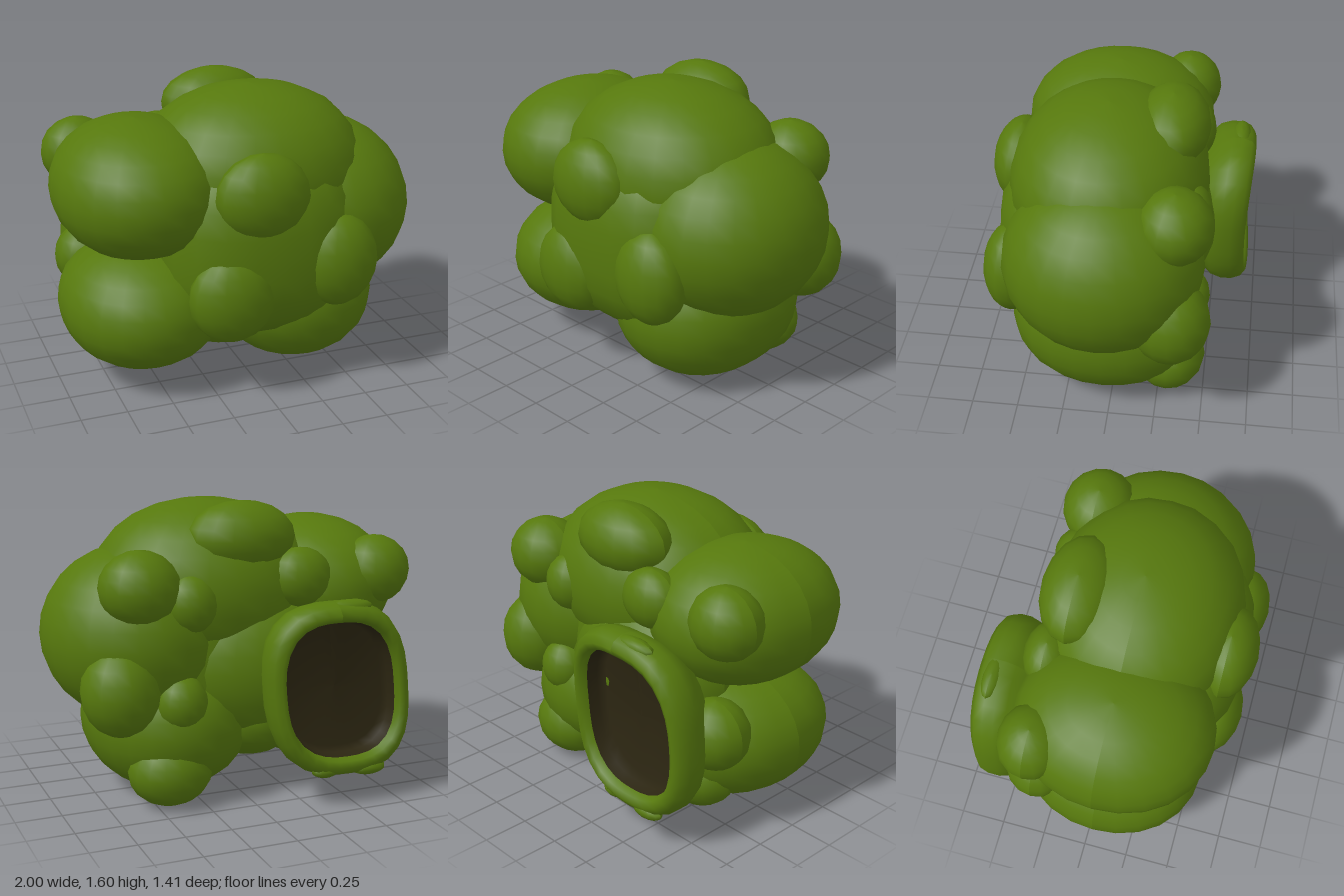
import * as THREE from 'three';

export function createModel() {
  const model = new THREE.Group();
  model.name = 'lumpyBush';

  const green = new THREE.MeshStandardMaterial({ color: 0x56780d });
  green.name = 'leaf green';
  const dark = new THREE.MeshStandardMaterial({ color: 0x2b2511 });
  dark.name = 'dark hollow';

  // One rounded clump: centre and radii; a power above 2 makes it slightly boxy
  function clump(name, parent, [x, y, z, rx, ry, rz, power = 2], sides) {
    const geo = new THREE.SphereGeometry(1, sides, Math.round(sides * 0.6));
    const pos = geo.attributes.position;
    const v = new THREE.Vector3();
    for (let i = 0; i < pos.count; i++) {
      v.fromBufferAttribute(pos, i);
      const sum = Math.abs(v.x) ** power + Math.abs(v.y) ** power + Math.abs(v.z) ** power;
      v.divideScalar(sum ** (1 / power));
      pos.setXYZ(i, v.x, v.y, v.z);
    }
    geo.computeVertexNormals();
    const mesh = new THREE.Mesh(geo, green);
    mesh.name = name;
    mesh.position.set(x, y, z);
    mesh.scale.set(rx, ry, rz);
    parent.add(mesh);
  }

  function clumps(name, list, sides) {
    const group = new THREE.Group();
    group.name = name + 's';
    list.forEach((c, i) => clump(name + (i + 1), group, c, sides));
    model.add(group);
  }

  // Main foliage lobes around a central core
  clumps('largeLobe', [
    [0.06, 0.79, 0.12, 0.55, 0.53, 0.53, 2.9],   // front core
    [-0.14, 0.72, -0.18, 0.52, 0.43, 0.34],      // back core
    [0.09, 1.12, 0.06, 0.62, 0.46, 0.53, 2.1],   // top
    [-0.55, 1.09, 0.07, 0.45, 0.365, 0.53, 2.1], // upper right
    [-0.54, 0.43, 0.05, 0.44, 0.345, 0.51, 2.1], // lower right
    [0.50, 0.88, 0.05, 0.50, 0.475, 0.53],       // left
    [0.33, 0.405, 0.04, 0.455, 0.40, 0.53, 2.1], // bottom
    [-0.12, 0.42, 0.02, 0.32, 0.28, 0.45],       // filler underneath
  ], 24);

  // Smaller tufts on the front
  clumps('frontTuft', [
    [-0.02, 1.115, 0.545, 0.255, 0.23, 0.16],
    [-0.18, 0.585, 0.545, 0.24, 0.245, 0.155],
    [0.41, 0.715, 0.55, 0.215, 0.255, 0.155],
  ], 16);

  // Smaller tufts on the back
  clumps('backTuft', [
    [0.0, 1.41, -0.26, 0.30, 0.19, 0.20],
    [0.58, 1.19, -0.32, 0.215, 0.195, 0.20],
    [0.69, 0.66, -0.32, 0.21, 0.24, 0.21],
    [0.42, 0.19, -0.30, 0.23, 0.19, 0.20],
    [-0.77, 1.19, -0.30, 0.20, 0.19, 0.18],
    [-0.73, 0.57, -0.32, 0.19, 0.19, 0.18],
    [-0.60, 0.27, -0.28, 0.20, 0.17, 0.19],
    [-0.30, 1.19, -0.35, 0.18, 0.16, 0.13],
    [0.32, 1.10, -0.36, 0.15, 0.16, 0.14],
    [0.38, 0.58, -0.38, 0.14, 0.15, 0.13],
  ], 16);

  // Hollow spout at the back: a turned profile squared off and leaned over
  const spout = new THREE.Group();
  spout.name = 'spout';
  spout.position.set(-0.42, 0.63, 0);
  model.add(spout);

  function spoutPart(name, profile, material) {
    const geo = new THREE.LatheGeometry(profile.map(([r, d]) => new THREE.Vector2(r, d)), 32);
    geo.rotateX(-Math.PI / 2);
    const pos = geo.attributes.position;
    for (let i = 0; i < pos.count; i++) {
      const x = pos.getX(i), y = pos.getY(i), r = Math.hypot(x, y);
      if (r < 1e-5) continue;
      const c = x / r, s = y / r;
      const k = r / Math.pow(Math.abs(c) ** 2.7 + Math.abs(s) ** 2.7, 1 / 2.7);
      const py = 0.47 * k * s;
      pos.setXYZ(i, 0.405 * k * c + 0.1 * py, py, pos.getZ(i) + 0.035 * (1 - s * s) * r);
    }
    geo.computeVertexNormals();
    const mesh = new THREE.Mesh(geo, material);
    mesh.name = name;
    spout.add(mesh);
  }

  spoutPart('spoutRim', [
    [0.72, 0.38], [0.82, 0.44], [0.96, 0.51], [1.0, 0.57], [1.0, 0.63],
    [0.96, 0.68], [0.88, 0.705], [0.81, 0.69], [0.78, 0.65],
  ], green);
  spoutPart('spoutHollow', [[0.78, 0.65], [0.76, 0.59], [0.72, 0.54], [0, 0.54]], dark);

  // Little buds along the spout rim
  clumps('rimBud', [
    [-0.46, 1.07, -0.62, 0.13, 0.04, 0.05],
    [-0.33, 0.20, -0.64, 0.08, 0.04, 0.05],
    [-0.58, 0.19, -0.65, 0.10, 0.04, 0.05],
  ], 12);

  return model;
}
